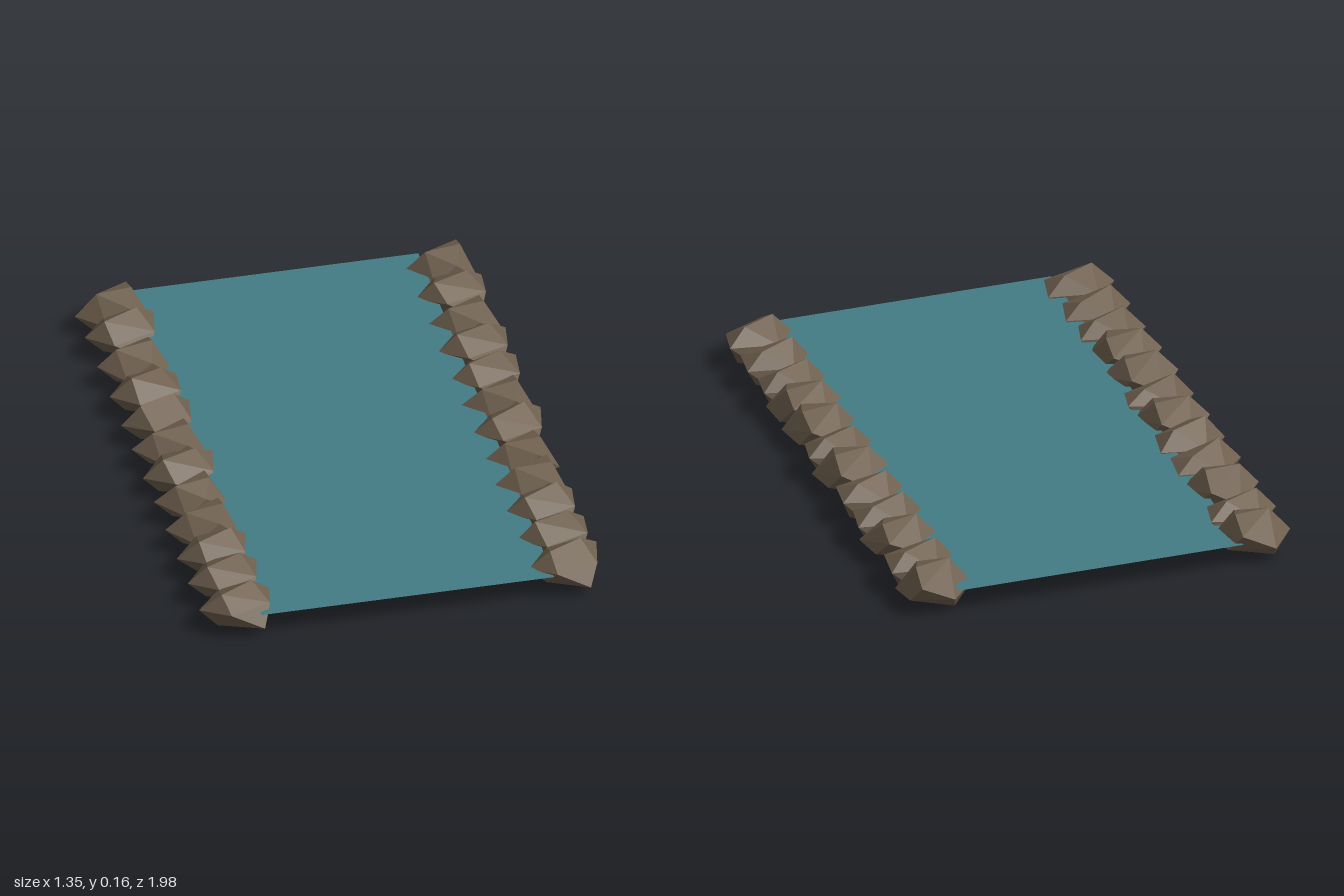
import * as THREE from 'three';
import { ConvexGeometry } from 'three/addons/geometries/ConvexGeometry.js';

// corner points of one faceted bank rock, around its centre
const CORNERS = [
  [-0.125, 0, 0], [-0.06, 0.075, 0.02], [0.06, 0.068, -0.04], [0.12, 0.02, -0.07],
  [-0.04, 0.01, -0.09], [0.07, -0.04, 0.09], [-0.04, 0.02, 0.09], [-0.06, -0.075, -0.02],
  [0.065, -0.075, 0], [0.04, -0.05, -0.08], [0.1, 0.02, 0.04],
];

// z of each rock along a bank, and whether it is turned end for end
const LEFT_Z = [-0.89, -0.72, -0.56, -0.4, -0.23, -0.07, 0.09, 0.25, 0.41, 0.57, 0.73, 0.9];
const RIGHT_Z = [-0.89, -0.74, -0.565, -0.39, -0.22, -0.07, 0.09, 0.25, 0.41, 0.58, 0.73, 0.9];
const TURNED = [1, 0, 1, 0, 0, 1, 0, 1, 1, 0, 0, 0];

let seed = 7;
function random() {
  seed = (seed * 16807) % 2147483647;
  return seed / 2147483647;
}

function rockGeometry(turned) {
  const wobble = () => (random() - 0.5) * 0.012;
  const s = turned ? -1 : 1; // half turn about the x axis
  return new ConvexGeometry(CORNERS.map(([x, y, z], i) => new THREE.Vector3(
    x + (i ? wobble() : 0), s * y + wobble(), s * z + wobble())));
}

function rockBank(name, x, positions, material) {
  const bank = new THREE.Group();
  bank.name = name;
  positions.forEach((z, i) => {
    const rock = new THREE.Mesh(rockGeometry(TURNED[i]), material);
    rock.name = 'rock';
    rock.position.set(x, 0.09, z);
    bank.add(rock);
  });
  return bank;
}

export function createModel() {
  const model = new THREE.Group();
  model.name = 'riverSection';
  seed = 7;

  const stone = new THREE.MeshStandardMaterial({ color: 0x6e5f4e, flatShading: true });
  const waterColor = new THREE.MeshStandardMaterial({ color: 0x447c85, side: THREE.DoubleSide });

  // flat water surface between the banks
  const water = new THREE.Mesh(new THREE.PlaneGeometry(0.98, 1.95), waterColor);
  water.name = 'water';
  water.rotation.x = -Math.PI / 2;
  water.position.set(0, 0.1, 0.005);
  model.add(water);

  // a row of rocks on either side
  model.add(rockBank('rightBank', -0.555, RIGHT_Z, stone));
  model.add(rockBank('leftBank', 0.545, LEFT_Z, stone));
  return model;
}
